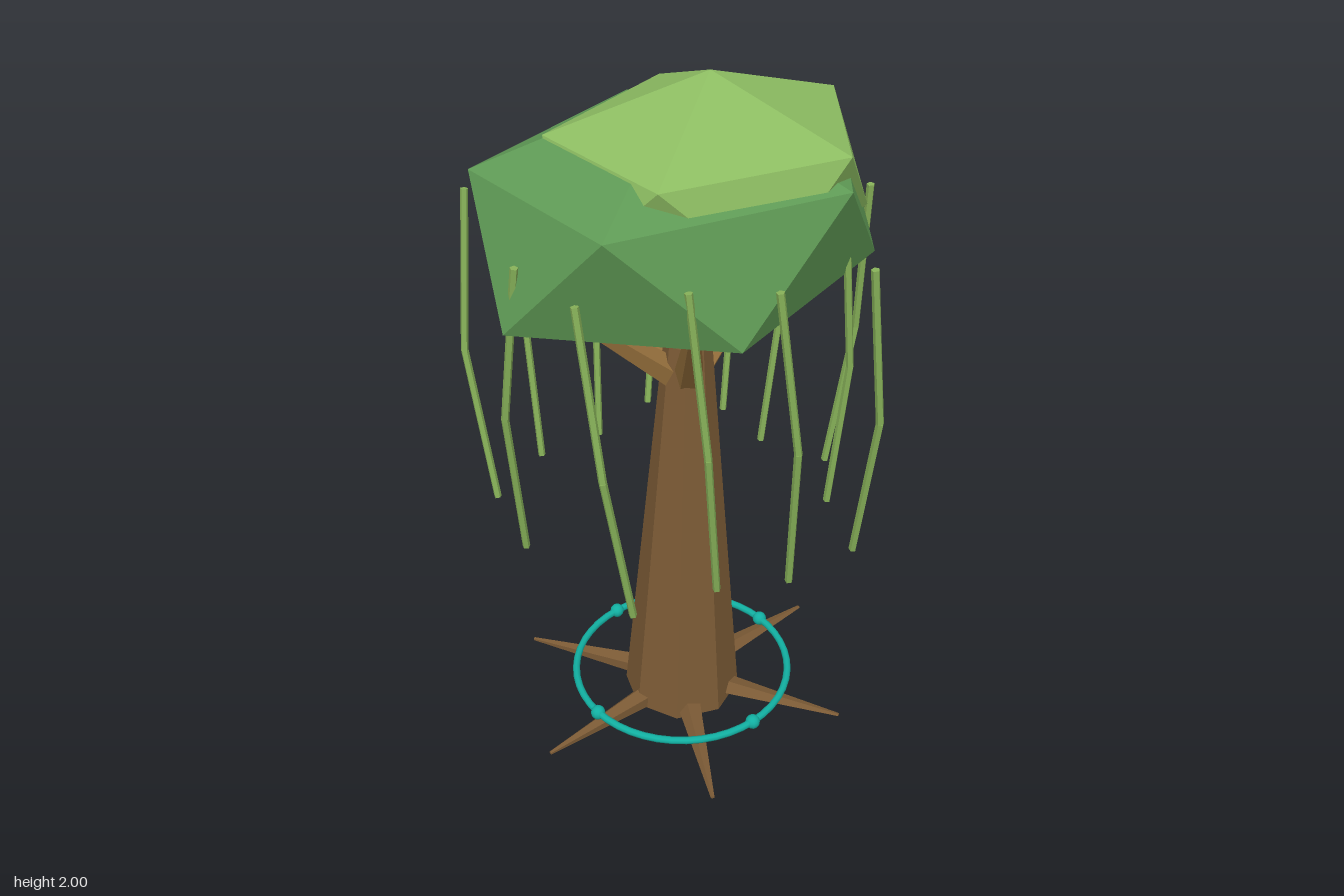
import * as THREE from 'three';

const mat = (color, flatShading = true) => {
  const m = new THREE.MeshStandardMaterial({ flatShading });
  m.color.set(color);
  return m;
};
const V = (x, y, z) => new THREE.Vector3(x, y, z);

export function createModel() {
  const model = new THREE.Group();
  const bark = mat(0x7b5a35), wood = mat(0x96703c), leaf = mat(0x5f9a55);
  const lightLeaf = mat(0x8dbd62), vineMat = mat(0x86b058), teal = mat(0x12b0a2, false);
  const CZ = -0.033; // the tree axis

  const add = (parent, name, geometry, material) => {
    const mesh = new THREE.Mesh(geometry, material);
    mesh.name = name;
    parent.add(mesh);
    return mesh;
  };
  const group = (name) => {
    const g = new THREE.Group();
    g.name = name;
    model.add(g);
    return g;
  };
  // tapered rod between two points
  const rod = (parent, name, a, b, ra, rb, sides, material) => {
    const d = b.clone().sub(a);
    const mesh = add(parent, name, new THREE.CylinderGeometry(rb, ra, d.length(), sides), material);
    mesh.position.copy(a).addScaledVector(d, 0.5);
    mesh.quaternion.setFromUnitVectors(V(0, 1, 0), d.normalize());
    return mesh;
  };

  // Trunk: eight-sided taper, leaning slightly to +x
  const H = 1.235;
  const trunkGeo = new THREE.CylinderGeometry(0.066, 0.176, H, 8);
  trunkGeo.translate(0, H / 2, 0);
  trunkGeo.applyMatrix4(new THREE.Matrix4().makeShear(0.025 / H, 0, 0, 0, 0, 0));
  const p = trunkGeo.attributes.position;
  for (let i = 0; i < p.count; i++) p.setX(i, p.getX(i) * 1 + 0.025 * (p.getY(i) / H) * (p.getX(i) === 0 ? 1 : 0));
  const straight = new THREE.CylinderGeometry(0.066, 0.176, H, 8).translate(0, H / 2, 0);
  const s = straight.attributes.position;
  for (let i = 0; i < s.count; i++) s.setX(i, s.getX(i) + 0.025 * s.getY(i) / H);
  add(model, 'trunk', straight, bark).position.set(0, 0.005, CZ);

  // Roots: six flat spikes around the foot
  const roots = group('roots');
  for (let i = 0; i < 6; i++) {
    const geo = new THREE.CylinderGeometry(0.006, 0.05, 0.51, 5);
    geo.rotateZ(-Math.PI / 2).translate(0.255, 0, 0);
    const q = geo.attributes.position;
    for (let k = 0; k < q.count; k++) {
      const t = q.getX(k) / 0.51;
      q.setY(k, Math.max(0, q.getY(k) * 0.8 + 0.03 - 0.012 * t));
    }
    const root = add(roots, 'root', geo, bark);
    root.position.z = CZ;
    root.rotation.y = i * Math.PI / 3;
  }

  // Branches reaching into the canopy: angle, reach
  const branches = group('branches');
  [[5, 0.3], [125, 0.27], [200, 0.34], [265, 0.3], [312, 0.28]].forEach(([deg, r]) => {
    const a = deg * Math.PI / 180, c = Math.cos(a), n = Math.sin(a);
    rod(branches, 'branch', V(0.025 + 0.02 * c, 1.12, CZ + 0.02 * n),
      V(0.01 + r * c, 1.41, CZ + r * n), 0.045, 0.02, 5, wood);
  });

  // Canopy: two icosahedra standing on a corner
  const blob = (name, pos, size, material) => {
    const geo = new THREE.IcosahedronGeometry(1, 0);
    geo.rotateX(-Math.atan((1 + Math.sqrt(5)) / 2)).rotateY(Math.PI / 2);
    geo.scale(...size).translate(...pos);
    geo.computeVertexNormals();
    add(model, name, geo, material);
  };
  blob('canopy', [0, 1.625, -0.035], [0.623, 0.347, 0.512], leaf);
  blob('canopyTop', [0.06, 1.737, 0.01], [0.482, 0.263, 0.425], lightLeaf);

  // Hanging vines: x, z at the top, the kink and the bottom end
  const vines = group('hangingVines');
  [
    [-0.36, -0.482, -0.416, -0.464, -0.40, -0.383],
    [-0.11, -0.533, -0.168, -0.536, -0.18, -0.473],
    [0.105, -0.475, 0.06, -0.497, 0.02, -0.45],
    [0.36, -0.488, 0.326, -0.536, 0.25, -0.497],
    [0.46, -0.255, 0.46, -0.33, 0.405, -0.31],
    [0.43, -0.05, 0.43, -0.09, 0.38, -0.107],
    [0.47, 0.185, 0.5, 0.14, 0.455, 0.095],
    [0.285, 0.28, 0.33, 0.285, 0.315, 0.245],
    [0.13, 0.527, 0.19, 0.53, 0.21, 0.452],
    [-0.117, 0.464, -0.063, 0.494, -0.018, 0.437],
    [-0.28, 0.33, -0.25, 0.37, -0.19, 0.34],
    [-0.518, 0.213, -0.506, 0.278, -0.425, 0.278],
    [-0.515, -0.03, -0.53, -0.1, -0.47, -0.14],
  ].forEach(([ax, az, bx, bz, cx, cz]) => {
    const kink = V(bx, 1.18, bz);
    rod(vines, 'vineUpper', kink, V(ax, 1.64, az), 0.011, 0.011, 5, vineMat);
    rod(vines, 'vineLower', V(cx, 0.715, cz), kink, 0.011, 0.011, 5, vineMat);
  });

  // Ring with four beads around the foot
  const ring = group('groundRing');
  ring.position.set(0, 0.07, CZ);
  add(ring, 'ring', new THREE.TorusGeometry(0.33, 0.011, 8, 48).rotateX(Math.PI / 2), teal);
  for (let i = 0; i < 4; i++) {
    const a = i * Math.PI / 2;
    add(ring, 'bead', new THREE.SphereGeometry(0.022, 12, 8), teal)
      .position.set(0.33 * Math.cos(a), 0, 0.33 * Math.sin(a));
  }
  return model;
}
